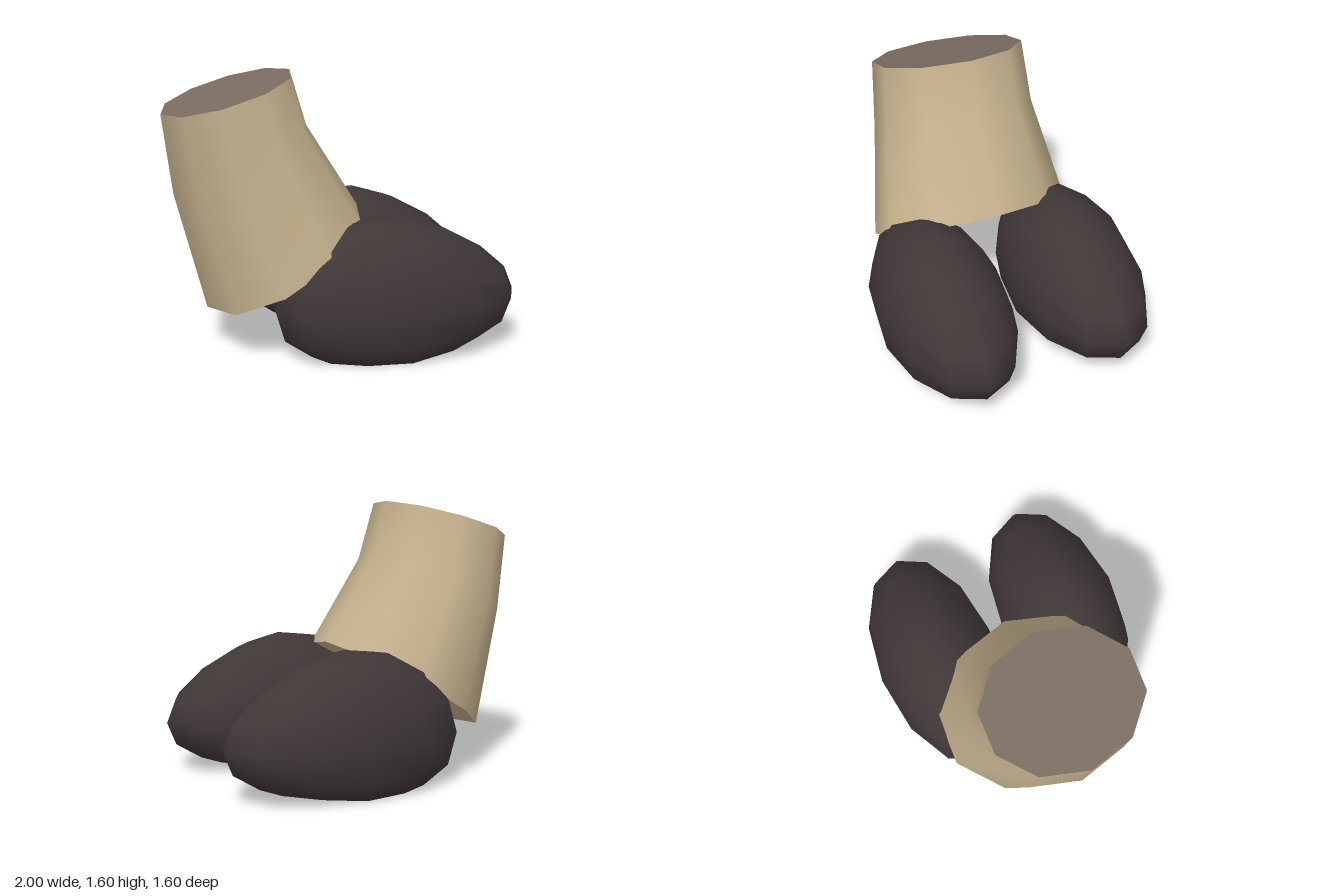
import * as THREE from 'three';
import { mergeVertices } from 'three/addons/utils/BufferGeometryUtils.js';

function material(name, color) {
  const m = new THREE.MeshStandardMaterial({ color });
  m.name = name;
  return m;
}

// Weld seams, move every vertex by a rule, then rebuild smooth normals
function reshape(geometry, rule) {
  geometry.deleteAttribute('uv');
  const g = mergeVertices(geometry, 1e-3);
  const p = g.attributes.position;
  for (let i = 0; i < p.count; i++) {
    p.setXYZ(i, ...rule(p.getX(i), p.getY(i), p.getZ(i)));
  }
  g.computeVertexNormals();
  return g;
}

// Leg rings, bottom to top: back point, front point (x, y) and half width in z
const rings = [
  { back: [-0.76, 0.22], front: [0.16, 0.78], width: 0.61 },
  { back: [-0.94, 0.91], front: [-0.15, 1.27], width: 0.495 },
  { back: [-1.0, 1.37], front: [-0.25, 1.6], width: 0.46 },
];

function legGeometry() {
  const tube = new THREE.CylinderGeometry(1, 1, 2, 10, 2, false, Math.PI / 2);
  return reshape(tube, (x, y, z) => {
    const { back, front, width } = rings[Math.round(y + 1)];
    const t = (x + 1) / 2;
    return [
      THREE.MathUtils.lerp(back[0], front[0], t),
      THREE.MathUtils.lerp(back[1], front[1], t),
      z * width,
    ];
  });
}

// Toe: ellipsoid with a flat sole, thinning toward the tip
function toeGeometry() {
  return reshape(new THREE.SphereGeometry(1, 12, 8), (x, y, z) => {
    const taper = 1 - 0.31 * Math.max(0, x);
    const height = Math.max(-0.3, y * 0.495) * taper;
    return [0.27 + x * 0.73, 0.3 + height, z * 0.38];
  });
}

export function createModel() {
  const model = new THREE.Group();
  model.name = 'clovenHoof';

  const hide = material('tan hide', 0xc6b28e);
  const cut = material('brown cut end', 0x7a6c60);
  const horn = material('dark horn', 0x403737);

  // Leg with its cut upper end
  const leg = new THREE.Mesh(legGeometry(), [hide, cut, hide]);
  leg.name = 'leg';
  model.add(leg);

  // Pair of toes
  const toe = toeGeometry();
  for (const side of [1, -1]) {
    const mesh = new THREE.Mesh(toe, horn);
    mesh.name = side > 0 ? 'frontToe' : 'backToe';
    mesh.position.z = side * 0.42;
    model.add(mesh);
  }
  return model;
}
